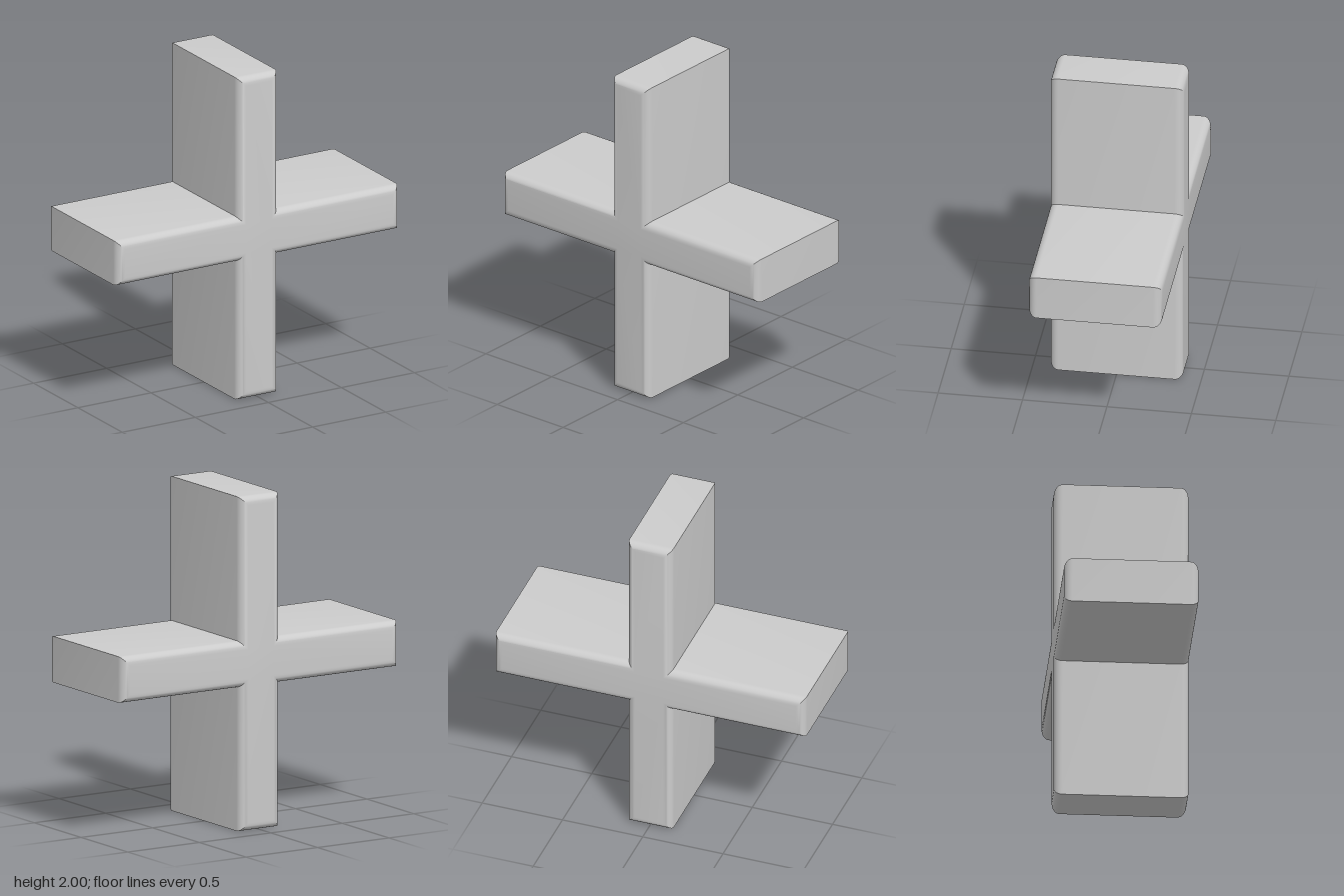
import * as THREE from 'three';
import { toCreasedNormals } from 'three/addons/utils/BufferGeometryUtils.js';

const HALF_WIDTH = 0.138; // half thickness of every arm
const REACH_X = 0.967;
const REACH_Y = 1;
const HALF_DEPTH = 0.395;
const BEVEL = 0.05;

// Plus-shaped outline, one quadrant mirrored by rotation of signs
function plusOutline() {
  const w = HALF_WIDTH;
  return new THREE.Shape([
    [REACH_X, -w], [REACH_X, w], [w, w], [w, REACH_Y],
    [-w, REACH_Y], [-w, w], [-REACH_X, w], [-REACH_X, -w],
    [-w, -w], [-w, -REACH_Y], [w, -REACH_Y], [w, -w],
  ].map(([x, y]) => new THREE.Vector2(x, y)));
}

export function createModel() {
  const group = new THREE.Group();
  group.name = 'cross';

  // Rounded front and back rims, sharp edges along the depth
  const depth = 2 * (HALF_DEPTH - BEVEL);
  const geometry = new THREE.ExtrudeGeometry(plusOutline(), {
    depth,
    bevelEnabled: true,
    bevelSize: BEVEL,
    bevelOffset: -BEVEL,
    bevelThickness: BEVEL,
    bevelSegments: 8,
  });
  geometry.translate(0, REACH_Y, -depth / 2);

  const body = new THREE.Mesh(
    toCreasedNormals(geometry, 0.6),
    new THREE.MeshStandardMaterial({ color: 0xcccccc }),
  );
  body.name = 'crossBody';
  group.add(body);
  return group;
}
